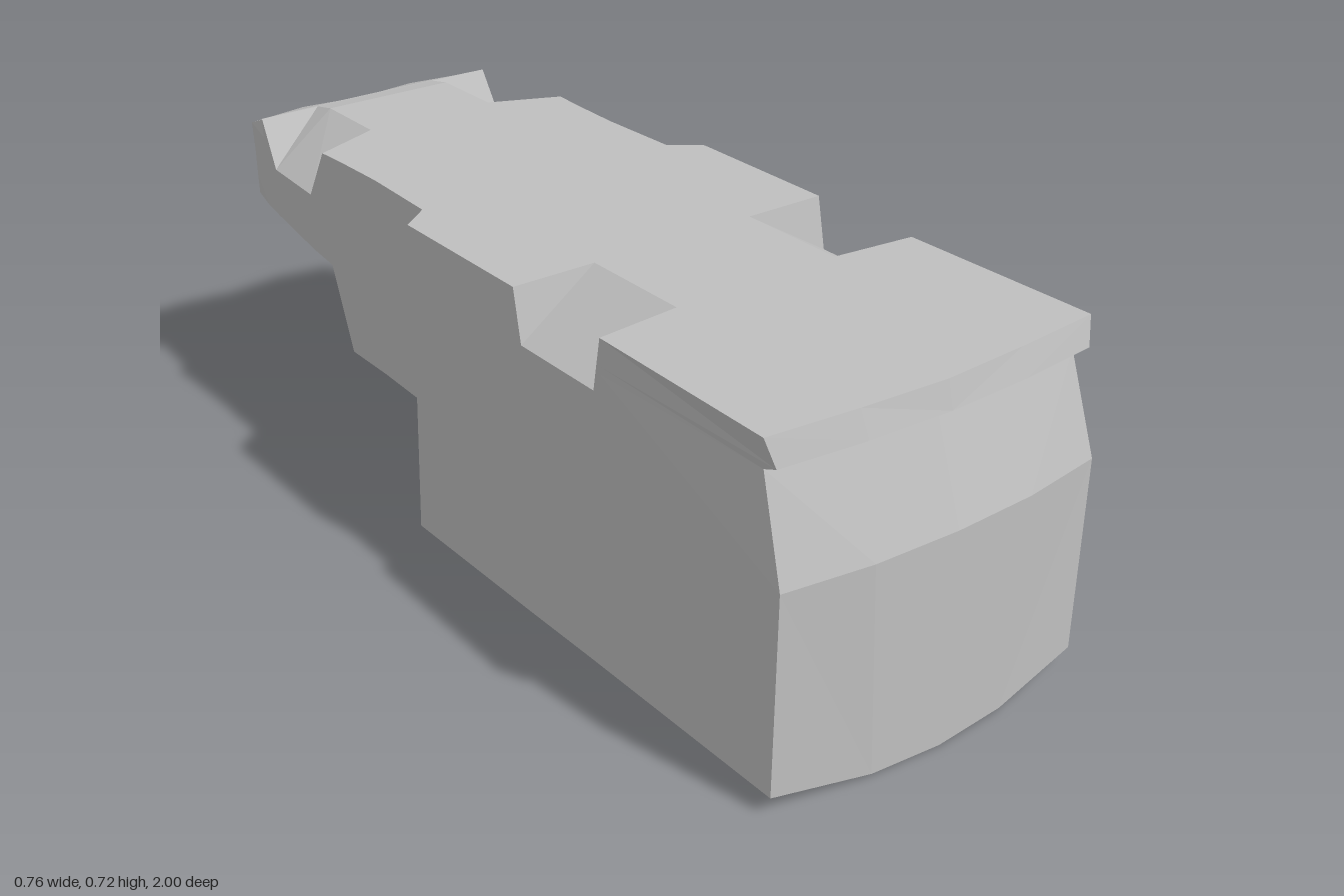
import * as THREE from 'three';

const TOP = 0.725;

// Collects quads together with their mirror image across x = 0
function mirroredMesh(name, material, fill) {
  const pos = [];
  const tri = (a, b, c) => {
    pos.push(...a, ...b, ...c);
    for (const p of [a, c, b]) pos.push(-p[0], p[1], p[2]);
  };
  fill((a, b, c, d) => { tri(a, b, c); tri(a, c, d); });
  const g = new THREE.BufferGeometry();
  g.setAttribute('position', new THREE.Float32BufferAttribute(pos, 3));
  g.computeVertexNormals();
  const mesh = new THREE.Mesh(g, material);
  mesh.name = name;
  return mesh;
}

// Half cross-section: bottom centre and quarter points, side points, top inner and centre
function section(yBottom, bottomZ, side, inner, topY = TOP, topZ = null) {
  const [w, y, z] = side[0];
  const t = side[side.length - 1];
  const [zq, zc] = topZ ?? [t[2], t[2]];
  return [
    [0, yBottom, bottomZ], [w * 0.43, yBottom + (y - yBottom) * 0.18, z + (bottomZ - z) * 0.8],
    ...side, [inner, topY, zq], [0, topY, zc],
  ];
}

// Plain station: constant z, optional cut lowering the outer top edge
function station(z, w, yBottom, rise, yMid, inner, cutY = null) {
  const top = cutY ?? TOP;
  const upper = cutY ? cutY - 0.015 : 0.655;
  const lip = cutY ? cutY - 0.007 : 0.67;
  return section(yBottom, z, [
    [w, yBottom + rise, z], [w, yMid, z], [w, upper, z], [w, lip, z], [w, top, z],
  ], inner);
}

export function createModel() {
  const group = new THREE.Group();
  const grey = new THREE.MeshStandardMaterial({ color: 0xbfbfbf });
  grey.name = 'plain grey';
  grey.flatShading = true;

  const front = section(0.003, 1.0, [
    [0.375, 0.042, 0.967], [0.375, 0.455, 0.967], [0.364, 0.655, 0.903],
    [0.367, 0.67, 0.937], [0.382, TOP, 0.92],
  ], 0.19, TOP, [0.937, 0.948]);

  const rear = section(0.5, -1.0, [
    [0.29, 0.515, -0.967], [0.292, 0.56, -0.966], [0.292, 0.62, -0.968],
    [0.292, 0.685, -0.975], [0.29, 0.708, -0.918],
  ], 0.155, 0.712, [-0.918, -0.918]);

  const stations = [
    front,
    // front pair of side cut-outs
    station(0.478, 0.375, 0.006, 0.034, 0.455, 0.19),
    station(0.46, 0.375, 0.006, 0.034, 0.455, 0.19, 0.615),
    station(0.235, 0.375, 0.007, 0.03, 0.455, 0.19, 0.615),
    station(0.212, 0.375, 0.007, 0.03, 0.455, 0.19),
    // step to the narrower, raised rear
    section(0.01, -0.172, [
      [0.375, 0.035, -0.16], [0.375, 0.455, -0.148], [0.375, 0.655, -0.155],
      [0.375, 0.67, -0.155], [0.375, TOP, -0.155],
    ], 0.17),
    station(-0.205, 0.31, 0.267, 0.008, 0.455, 0.155),
    station(-0.4, 0.304, 0.268, 0.008, 0.455, 0.155),
    station(-0.53, 0.308, 0.272, 0.008, 0.46, 0.155),
    station(-0.595, 0.312, 0.455, 0.012, 0.5, 0.155),
    // rear pair of side cut-outs
    station(-0.605, 0.313, 0.458, 0.012, 0.5, 0.155),
    station(-0.67, 0.314, 0.463, 0.016, 0.52, 0.155, 0.61),
    station(-0.85, 0.303, 0.483, 0.016, 0.54, 0.155, 0.61),
    station(-0.91, 0.298, 0.488, 0.018, 0.55, 0.155),
    rear,
  ];
  for (const p of stations[stations.length - 2].slice(6, 9)) p[1] = 0.713;

  group.add(mirroredMesh('hullShell', grey, (quad) => {
    for (let i = 0; i < stations.length - 1; i++) {
      const a = stations[i], b = stations[i + 1];
      for (let k = 0; k < a.length - 1; k++) quad(a[k], b[k], b[k + 1], a[k + 1]);
    }
  }));

  // End faces: one row per side point, bowed by [quarter, centre] offsets
  function endRows(ring, bows) {
    const rows = [[ring[0], ring[1], ring[2]]];
    bows.forEach(([q, c], i) => {
      const [w, y, z] = ring[3 + i];
      rows.push([[0, y, z + c], [w * 0.5, y, z + q], ring[3 + i]]);
    });
    rows.push([ring[8], ring[7], ring[6]]);
    return rows;
  }
  function endFace(name, rows, flip) {
    return mirroredMesh(name, grey, (quad) => {
      for (let r = 0; r < rows.length - 1; r++) for (let k = 0; k < 2; k++) {
        const a = rows[r][k], b = rows[r][k + 1], c = rows[r + 1][k + 1], d = rows[r + 1][k];
        if (flip) quad(a, d, c, b); else quad(a, b, c, d);
      }
    });
  }
  group.add(endFace('frontFace', endRows(front, [[0.026, 0.033], [0.018, 0.025], [0.018, 0.025]]), false));
  group.add(endFace('rearFace', endRows(rear, [[-0.02, -0.02], [-0.012, -0.004], [-0.024, -0.006]]), true));

  // Small bent tab under the left rear flank
  const tab = new THREE.Group();
  tab.name = 'sideTab';
  const plate = new THREE.Mesh(new THREE.BoxGeometry(0.045, 0.07, 0.012), grey);
  plate.name = 'tabPlate';
  plate.position.set(0.343, 0.413, -0.592);
  plate.rotation.set(0.25, -0.3, 0);
  const arm = new THREE.Mesh(new THREE.BoxGeometry(0.05, 0.014, 0.014), grey);
  arm.name = 'tabArm';
  arm.position.set(0.32, 0.452, -0.592);
  arm.rotation.z = -0.35;
  tab.add(plate, arm);
  group.add(tab);

  return group;
}
